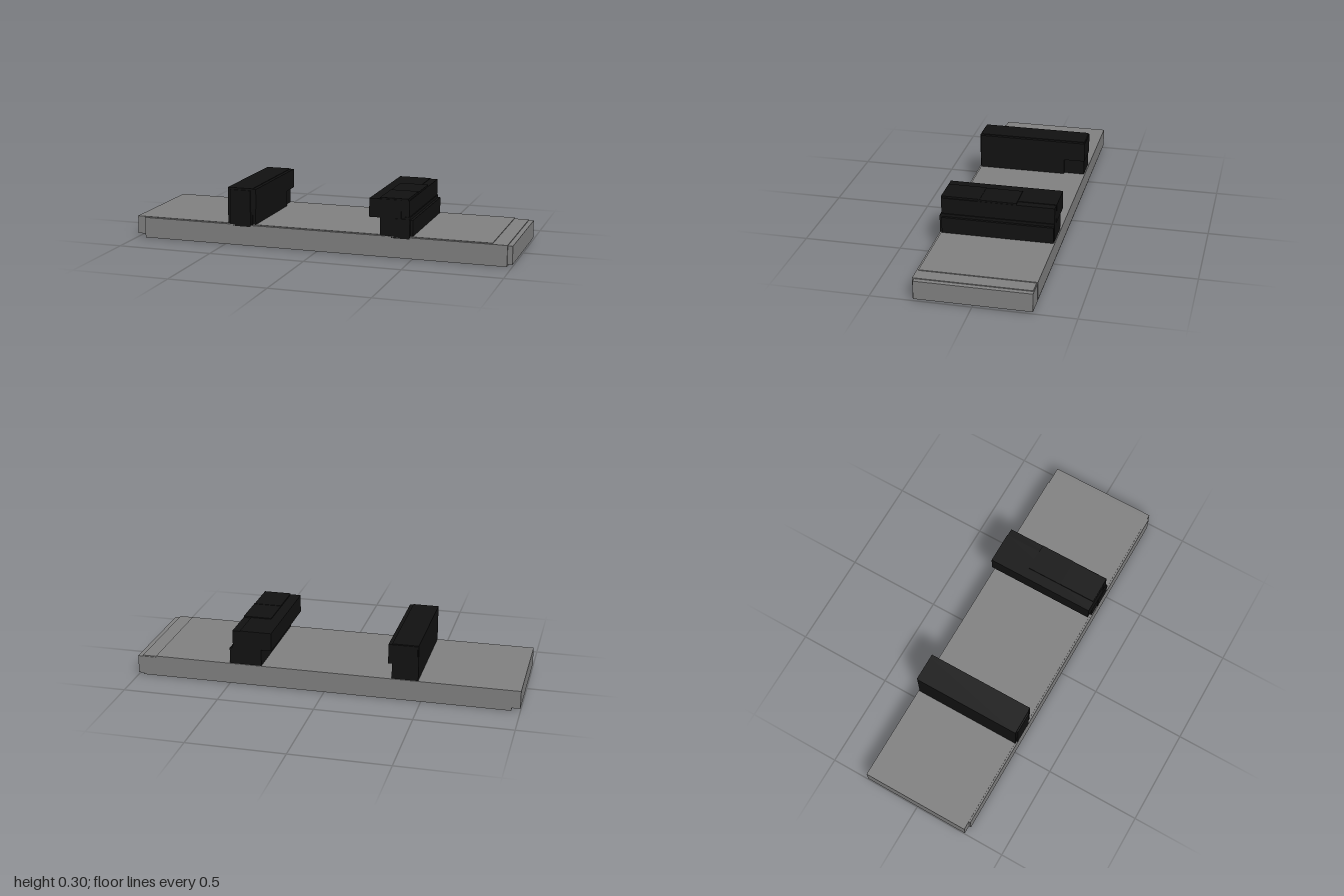
import * as THREE from 'three';

const grey = new THREE.MeshStandardMaterial({ color: 0x808080 });
const black = new THREE.MeshStandardMaterial({ color: 0x111111 });

// Box given by its [min, max] extents on each axis
function box(name, material, [x0, x1], [y0, y1], [z0, z1]) {
  const mesh = new THREE.Mesh(new THREE.BoxGeometry(x1 - x0, y1 - y0, z1 - z0), material);
  mesh.position.set((x0 + x1) / 2, (y0 + y1) / 2, (z0 + z1) / 2);
  mesh.name = name;
  return mesh;
}

function part(name, material, boxes) {
  const group = new THREE.Group();
  group.name = name;
  boxes.forEach(([piece, x, y, z]) => group.add(box(piece, material, x, y, z)));
  return group;
}

export function createModel() {
  const model = new THREE.Group();
  model.name = 'plankWithCrossbars';

  // Overlapping slabs that leave small steps along the edges and ends
  model.add(part('plank', grey, [
    ['upperSlab', [-1, 0.9], [0.018, 0.112], [-0.292, 0.284]],
    ['lowerSlab', [-0.955, 0.975], [0, 0.108], [-0.286, 0.293]],
    ['endSlab', [-0.5, 1], [0.01, 0.104], [-0.29, 0.284]],
  ]));

  // Crossbar on the model's right
  model.add(part('rightCrossbar', black, [
    ['bar', [-0.485, -0.35], [0.11, 0.3], [-0.286, 0.286]],
    ['topRail', [-0.48, -0.332], [0.195, 0.297], [-0.291, 0.284]],
    ['frontFoot', [-0.47, -0.36], [0.1, 0.29], [0, 0.293]],
    ['sideRail', [-0.4, -0.334], [0.108, 0.2], [-0.18, 0.284]],
  ]));

  // Crossbar on the model's left, with an overhang towards the middle
  model.add(part('leftCrossbar', black, [
    ['base', [0.33, 0.485], [0.108, 0.21], [-0.287, 0.288]],
    ['baseStep', [0.4, 0.498], [0.108, 0.195], [-0.285, 0.28]],
    ['frontFoot', [0.39, 0.485], [0.1, 0.2], [0, 0.293]],
    ['overhang', [0.275, 0.44], [0.2, 0.295], [-0.289, 0.29]],
    ['topRail', [0.4, 0.48], [0.2, 0.292], [-0.287, 0.285]],
    ['middleCap', [0.33, 0.478], [0.2, 0.3], [-0.095, 0.1]],
    ['frontCap', [0.33, 0.475], [0.2, 0.302], [0.09, 0.286]],
  ]));

  return model;
}
